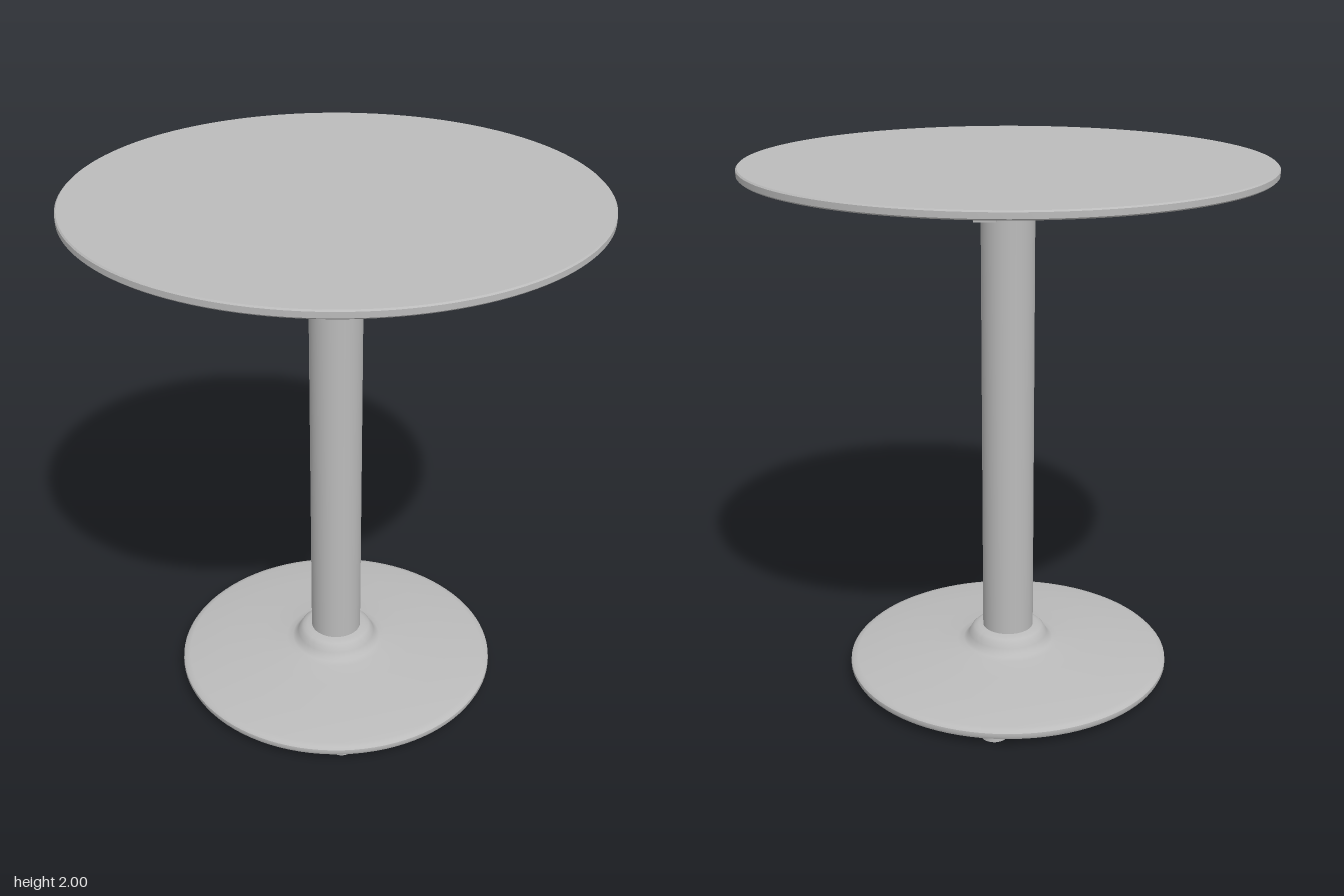
import * as THREE from 'three';
import { toCreasedNormals } from 'three/addons/utils/BufferGeometryUtils.js';

export function createModel() {
  const model = new THREE.Group();
  model.name = 'pedestalTable';
  const grey = new THREE.MeshStandardMaterial({ color: 0xbbbbbb });
  grey.name = 'satin grey';

  const add = (name, geometry, x = 0, y = 0, z = 0, parent = model) => {
    const mesh = new THREE.Mesh(geometry, grey);
    mesh.name = name;
    mesh.position.set(x, y, z);
    parent.add(mesh);
    return mesh;
  };

  // Turned part from [radius, height] pairs, listed bottom to top
  const turned = (name, profile, segments = 96) => {
    const points = profile.map(([r, y]) => new THREE.Vector2(r, y));
    return add(name, toCreasedNormals(new THREE.LatheGeometry(points, segments), 0.6));
  };

  // Round top with slightly eased edges
  turned('tableTop', [
    [0, 1.97], [0.942, 1.97], [0.947, 1.975], [0.947, 1.995], [0.942, 2], [0, 2],
  ], 128);

  // Domed foot plate that flares up into the column socket
  turned('base', [
    [0, 0.03], [0.605, 0.03], [0.617, 0.035], [0.622, 0.046], [0.621, 0.058],
    [0.613, 0.066], [0.595, 0.07], [0.45, 0.089], [0.3, 0.104], [0.2, 0.114],
    [0.175, 0.119], [0.162, 0.128], [0.153, 0.145], [0.143, 0.163],
    [0.132, 0.174], [0.116, 0.18], [0, 0.18],
  ]);

  // Column
  add('column', new THREE.CylinderGeometry(0.098, 0.098, 1.72, 64), 0, 1.03, 0);

  // Collar and mounting flange under the top
  turned('collar', [
    [0, 1.88], [0.11, 1.88], [0.118, 1.888], [0.118, 1.935], [0, 1.935],
  ], 64);
  turned('mountingFlange', [
    [0, 1.933], [0.18, 1.933], [0.187, 1.94], [0.187, 1.97], [0, 1.97],
  ], 64);

  // Four diagonal support arms with turned-down tips, and a foot below each
  for (let i = 0; i < 4; i++) {
    const quarter = new THREE.Group();
    quarter.name = 'supportArm' + (i + 1);
    quarter.rotation.y = Math.PI / 4 + i * Math.PI / 2;
    add('armBar', new THREE.BoxGeometry(0.62, 0.01, 0.07), 0.46, 1.965, 0, quarter);
    add('armTip', new THREE.BoxGeometry(0.01, 0.04, 0.07), 0.765, 1.95, 0, quarter);
    add('foot', new THREE.CylinderGeometry(0.048, 0.048, 0.035, 32), 0.537, 0.0175, 0, quarter);
    model.add(quarter);
  }

  return model;
}
